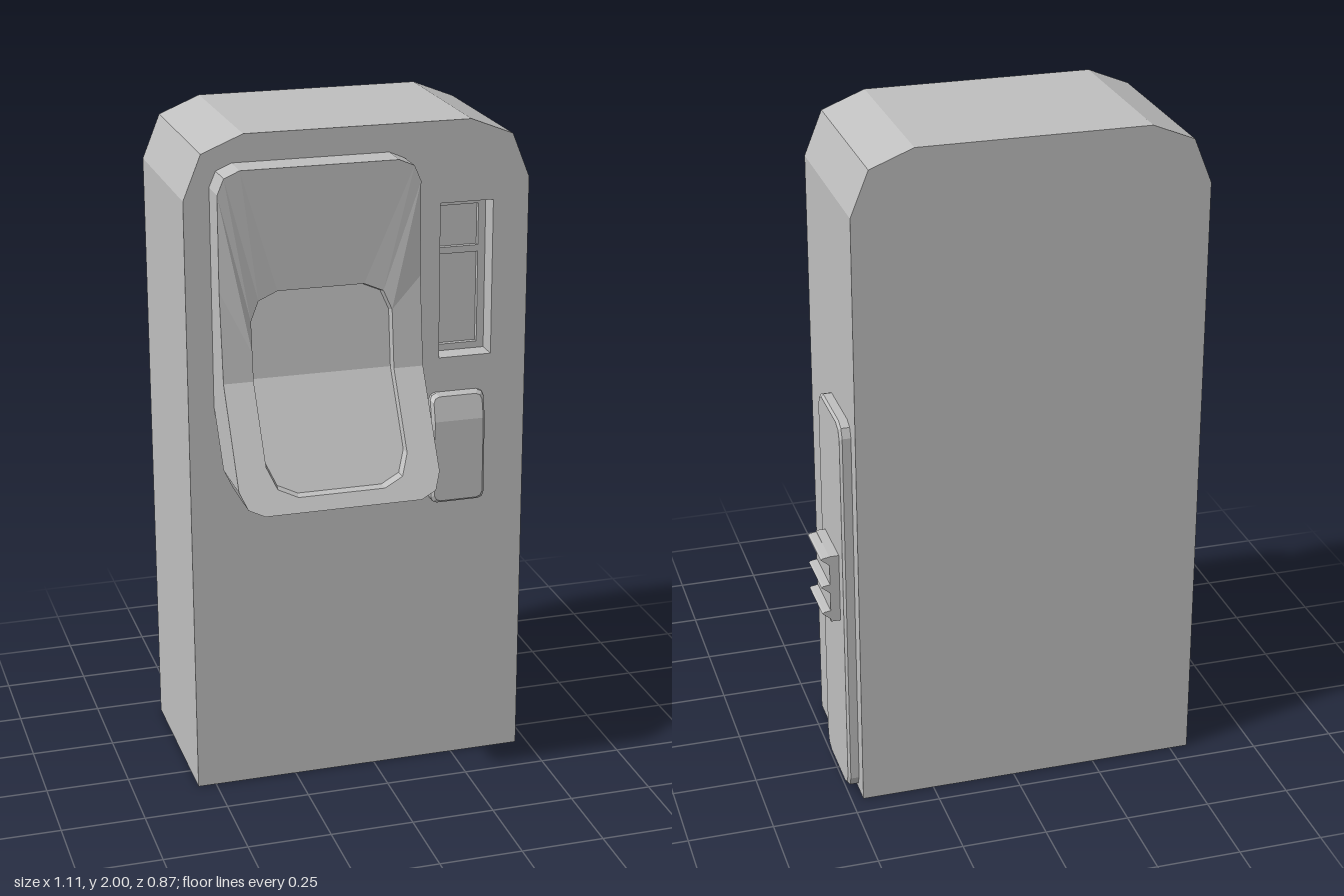
import * as THREE from 'three';

// Symmetric rounded-rectangle ring, counter-clockwise: right side upward, then left side downward.
function ring(x0, x1, y0, y1, r, z, mids = []) {
  const zf = typeof z === 'function' ? z : () => z;
  const c = (x0 + x1) / 2, w = (x1 - x0) / 2, k = 0.3 * r;
  const right = [
    [w - r, y0], [w - k, y0 + k], [w, y0 + r],
    ...mids.map((y) => [w, y]),
    [w, y1 - r], [w - k, y1 - k], [w - r, y1],
  ];
  const left = right.map(([x, y]) => [-x, y]).reverse();
  return [...right, ...left].map(([x, y]) => [c + x, y, zf(y)]);
}

// Skin a stack of rings (back to front); caps are strips between mirrored points.
function loft(rings, capBack = true, capFront = true) {
  const pos = [];
  const quad = (a, b, c, d) => pos.push(...a, ...b, ...c, ...a, ...c, ...d);
  const n = rings[0].length;
  for (let j = 0; j + 1 < rings.length; j++) {
    for (let i = 0; i < n; i++) {
      const k = (i + 1) % n;
      quad(rings[j][i], rings[j][k], rings[j + 1][k], rings[j + 1][i]);
    }
  }
  for (let i = 0; i < n / 2 - 1; i++) {
    const f = rings[rings.length - 1], b = rings[0];
    if (capFront) quad(f[i], f[i + 1], f[n - 2 - i], f[n - 1 - i]);
    if (capBack) quad(b[n - 1 - i], b[n - 2 - i], b[i + 1], b[i]);
  }
  const g = new THREE.BufferGeometry();
  g.setAttribute('position', new THREE.Float32BufferAttribute(pos, 3));
  g.computeVertexNormals();
  return g;
}

const polygon = (pts) => new THREE.Shape(pts.map(([x, y]) => new THREE.Vector2(x, y)));
const rect = (x0, x1, y0, y1) => [[x0, y0], [x1, y0], [x1, y1], [x0, y1]];

function slab(pts, z0, z1, holes = []) {
  const shape = polygon(pts);
  shape.holes = holes.map((h) => new THREE.Path(polygon(h).getPoints()));
  return new THREE.ExtrudeGeometry(shape, { depth: z1 - z0, bevelEnabled: false }).translate(0, 0, z0);
}

export function createModel() {
  const model = new THREE.Group();
  const grey = new THREE.MeshStandardMaterial({ color: 0xbfbfbf, flatShading: true });
  grey.name = 'cabinet grey';
  const add = (name, geometry) => {
    const m = new THREE.Mesh(geometry, grey);
    m.name = name;
    model.add(m);
    return m;
  };

  // Cabinet, in layers that leave the slot niche open
  const outline = [[-0.555, 0], [0.465, 0], [0.465, 1.82], [0.413, 1.95], [0.287, 2],
    [-0.38, 2], [-0.502, 1.95], [-0.555, 1.82]];
  const niche = rect(0.197, 0.357, 1.295, 1.76);
  const windows = [rect(0.215, 0.335, 1.61, 1.735), rect(0.215, 0.335, 1.315, 1.59)];
  add('cabinetBack', slab(outline, -0.435, 0.025));
  add('cabinetMiddle', slab(outline, 0.025, 0.04, windows));
  add('cabinetFront', slab(outline, 0.04, 0.105, [niche]));

  // Sloping walls of the niche
  add('nicheWalls', loft([
    ring(0.197, 0.357, 1.295, 1.76, 0, 0.105).reverse(),
    ring(0.209, 0.345, 1.308, 1.745, 0, 0.04).reverse(),
  ], false, false));

  // Flared front panel with a shallow bent recess
  const face = (y) => (y >= 1.58 ? 0.2 : y >= 1.32 ? 0.2 + 0.03 * (1.58 - y) / 0.26
    : 0.23 + 0.2 * (1.32 - y) / 0.33);
  const back = (y) => (y >= 1.22 ? 0.1 : 0.1 + 0.15 * (1.22 - y) / 0.23);
  const outer = (z) => ring(-0.48, 0.107, 0.99, 1.92, 0.065, z, [1.22, 1.32, 1.58]);
  const inner = (z, inset) => ring(-0.393 + inset, 0.02 - inset, 1.028 + inset, 1.57 - inset, 0.08, z,
    [1.22, 1.32, 1.4]);
  add('displayPanel', loft([
    outer(back), outer(face), inner(face, 0),
    inner((y) => face(y) - 0.022, 0.004),
  ]));

  // Wedge supporting the panel from below
  const wedge = slab([[0.1, 1.05], [0.215, 1.05], [0.1, 1.24]], -0.04, 0.41);
  wedge.rotateY(-Math.PI / 2);
  add('panelSupport', wedge);

  // Small box with a sloping top below the niche
  const slope = (y) => (y > 1.11 ? 0.145 - 0.02 * (y - 1.11) / 0.08 : 0.145);
  const box = (inset, z) => ring(0.167 + inset, 0.332 - inset, 0.853 + inset, 1.19 - inset, 0.018, z, [1.0, 1.11]);
  add('coinBox', loft([
    box(0, 0.1), box(0, (y) => slope(y) - 0.01), box(0.008, slope),
  ]));

  // Side door and its handle plate, built facing front and turned to the left side
  const door = add('sideDoor', loft([
    ring(0.118, 0.385, 0.003, 1.197, 0.04, 0.46),
    ring(0.118, 0.385, 0.003, 1.197, 0.04, 0.49),
    ring(0.125, 0.378, 0.01, 1.19, 0.04, 0.497),
  ]));
  door.rotation.y = Math.PI / 2;
  add('handlePlate', new THREE.BoxGeometry(0.03, 0.212, 0.17).translate(0.51, 0.662, -0.25));

  // Ribs on the handle
  for (const y of [0.56, 0.645, 0.735]) {
    add('handleRib', slab([[0.52, y], [0.55, y + 0.025], [0.545, y + 0.029], [0.52, y + 0.033]], -0.335, -0.172));
  }
  return model;
}
